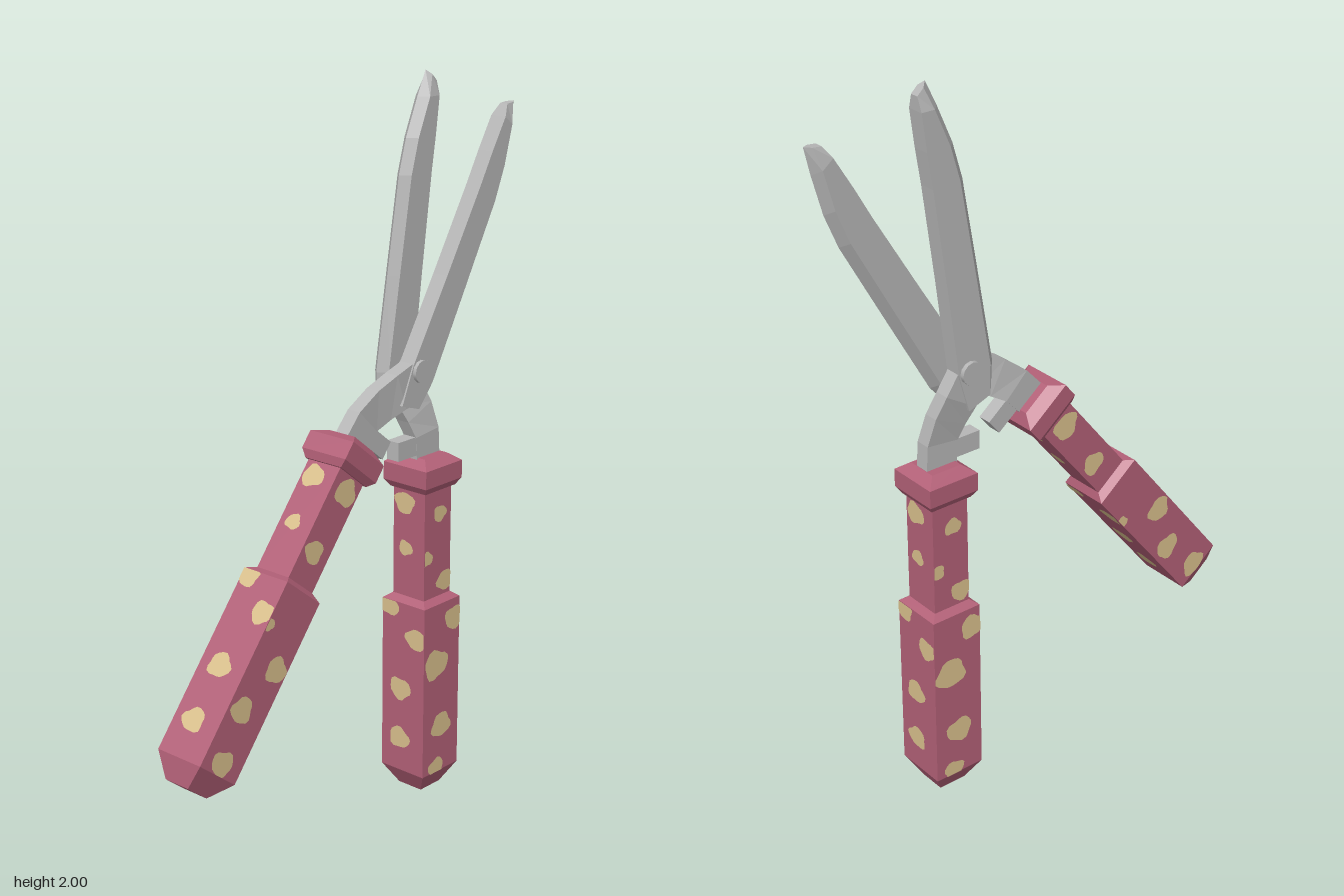
import * as THREE from 'three';

const PIVOT_Y = 1.235, PIVOT_Z = -0.235, HANDLE_U = -0.075;

const grip = new THREE.MeshStandardMaterial({ color: 0xb26077 });
grip.name = 'rose grip';
const patch = new THREE.MeshStandardMaterial({ color: 0xd8bf8c });
patch.name = 'beige patch';
const steel = new THREE.MeshStandardMaterial({ color: 0xb6b6b6 });
steel.name = 'grey steel';

// Closed, flat-shaded skin over equal-sized convex cross-sections.
function loft(sections) {
  const n = sections[0].length, tris = [];
  const last = sections.length - 1;
  for (let s = 0; s < last; s++) {
    for (let i = 0; i < n; i++) {
      const j = (i + 1) % n;
      const a = sections[s][i], b = sections[s][j], c = sections[s + 1][j], d = sections[s + 1][i];
      tris.push([a, b, c], [a, c, d]);
    }
  }
  for (let i = 1; i < n - 1; i++) {
    tris.push([sections[0][0], sections[0][i + 1], sections[0][i]]);
    tris.push([sections[last][0], sections[last][i], sections[last][i + 1]]);
  }
  // Signed volume decides whether the corners need reversing.
  let volume = 0;
  for (const [a, b, c] of tris) {
    volume += a[0] * (b[1] * c[2] - b[2] * c[1]) + a[1] * (b[2] * c[0] - b[0] * c[2]) + a[2] * (b[0] * c[1] - b[1] * c[0]);
  }
  if (volume < 0) tris.forEach((t) => t.reverse());
  const geo = new THREE.BufferGeometry();
  geo.setAttribute('position', new THREE.Float32BufferAttribute(tris.flat(2), 3));
  geo.computeVertexNormals();
  return geo;
}

function add(parent, name, geo, mat) {
  const mesh = new THREE.Mesh(geo, mat);
  mesh.name = name;
  parent.add(mesh);
  return mesh;
}

// Square section of the handle: height and half width.
const square = ([y, h]) => [[-h, y, h], [h, y, h], [h, y, -h], [-h, y, -h]];

// Spots: [height, across, radius]
const frontSpots = [
  [0.85, -0.015, 0.036], [0.72, -0.01, 0.025], [0.55, -0.05, 0.036], [0.47, 0.045, 0.036],
  [0.31, -0.008, 0.038], [0.16, -0.01, 0.037],
];
const sideSpotsA = [
  [0.82, 0.007, 0.027], [0.7, -0.045, 0.024], [0.62, 0.03, 0.034], [0.51, 0.05, 0.04],
  [0.39, -0.025, 0.05], [0.2, 0, 0.042], [0.075, -0.02, 0.033],
];
const sideSpotsB = [
  [0.845, 0.005, 0.042], [0.67, -0.01, 0.036], [0.45, -0.07, 0.02], [0.36, 0.03, 0.04],
  [0.23, -0.025, 0.04], [0.09, -0.005, 0.04],
];

// Ragged round patch, trimmed to the face it lies on.
function spotGeometry([y, x, r], seed) {
  const onShaft = y > 0.58;
  const half = onShaft ? 0.055 : 0.075;
  const [lo, hi] = onShaft ? [0.582, 0.89] : [0.06, 0.565];
  const pts = [];
  for (let i = 0; i < 18; i++) {
    const a = (i / 18) * Math.PI * 2;
    const rr = r * (0.97 + 0.1 * Math.sin(3 * a + seed) + 0.06 * Math.sin(5 * a + seed * 2.3));
    pts.push(new THREE.Vector2(
      THREE.MathUtils.clamp(x + rr * Math.cos(a), -half, half),
      THREE.MathUtils.clamp(y + rr * 0.88 * Math.sin(a), lo, hi)));
  }
  return new THREE.ShapeGeometry(new THREE.Shape(pts)).translate(0, 0, half + 0.002);
}

function buildHandle(sideSpots) {
  const handle = new THREE.Group();
  handle.name = 'handle';
  add(handle, 'grip', loft([[0, 0.04], [0.06, 0.075], [0.565, 0.075], [0.58, 0.055]].map(square)), grip);
  add(handle, 'shaft', loft([[0.57, 0.055], [0.9, 0.055]].map(square)), grip);
  add(handle, 'collar', loft([[0.89, 0.062], [0.91, 0.075], [0.96, 0.075], [0.982, 0.045]].map(square)), grip);
  for (let k = 0; k < 4; k++) {
    (k % 2 ? sideSpots : frontSpots).forEach((spot, i) => {
      add(handle, 'spot', spotGeometry(spot, i * 1.7 + k), patch).rotation.y = k * Math.PI / 2;
    });
  }
  handle.position.set(0, -PIVOT_Y, HANDLE_U);
  return handle;
}

// Tang rows: outer z, y, inner z, y, centre x.
const tangRows = [
  [-0.119, -0.262, -0.025, -0.262, 0],
  [-0.114, -0.185, -0.02, -0.195, 0],
  [-0.095, -0.11, -0.002, -0.15, -0.011],
  [-0.07, -0.05, 0.02, -0.105, -0.025],
  [-0.03, 0.01, 0.06, -0.06, -0.026],
];

// Blade rows: spine z, y, cutting edge z, y.
const bladeRows = [
  [0.082, -0.075, -0.005, -0.108],
  [0.086, 0, -0.035, 0],
  [0.045, 0.25, -0.066, 0.25],
  [0.002, 0.506, -0.1, 0.506],
  [-0.025, 0.6, -0.115, 0.6],
  [-0.068, 0.7, -0.128, 0.7],
  [-0.1, 0.766, -0.13, 0.737],
];

function buildHalf(name, sideSpots) {
  const half = new THREE.Group();
  half.name = name;
  half.add(buildHandle(sideSpots));

  // Cranked neck between handle and blade
  add(half, 'tang', loft(tangRows.map(([oz, oy, iz, iy, x]) => [
    [x - 0.021, oy, oz], [x + 0.021, oy, oz], [x + 0.021, iy, iz], [x - 0.021, iy, iz],
  ])), steel);

  // Stopper pointing inward from the neck
  const stopper = add(half, 'stopper', new THREE.BoxGeometry(0.04, 0.052, 0.11), steel);
  stopper.position.set(0, -0.219, -0.005);

  // Blade with a flat cutting edge and a wedge-shaped spine
  add(half, 'blade', loft(bladeRows.map(([sz, sy, cz, cy], i) => {
    const t = i === bladeRows.length - 1 ? 0.5 : 1;
    const bevel = Math.min(0.4, 0.022 / Math.hypot(sz - cz, sy - cy));
    const bz = sz + (cz - sz) * bevel, by = sy + (cy - sy) * bevel;
    const x0 = -0.027 - 0.024 * t, x1 = -0.027 + 0.024 * t;
    return [[x0, cy, cz], [x1, cy, cz], [x1, by, bz], [-0.028, sy, sz], [x0, by, bz]];
  })), steel);
  return half;
}

export function createModel() {
  const model = new THREE.Group();
  model.name = 'gardenShears';

  const halfA = buildHalf('uprightHalf', sideSpotsA);
  const halfB = buildHalf('openHalf', sideSpotsB);
  halfB.rotation.set(-0.674, Math.PI, 0);
  for (const half of [halfA, halfB]) {
    half.position.set(0, PIVOT_Y, PIVOT_Z);
    model.add(half);
  }

  // Pivot bolt with a head on each side
  const bolt = add(model, 'pivotBolt', new THREE.CylinderGeometry(0.031, 0.031, 0.124, 12), steel);
  bolt.rotation.z = Math.PI / 2;
  bolt.position.set(-0.001, PIVOT_Y, PIVOT_Z);
  return model;
}
